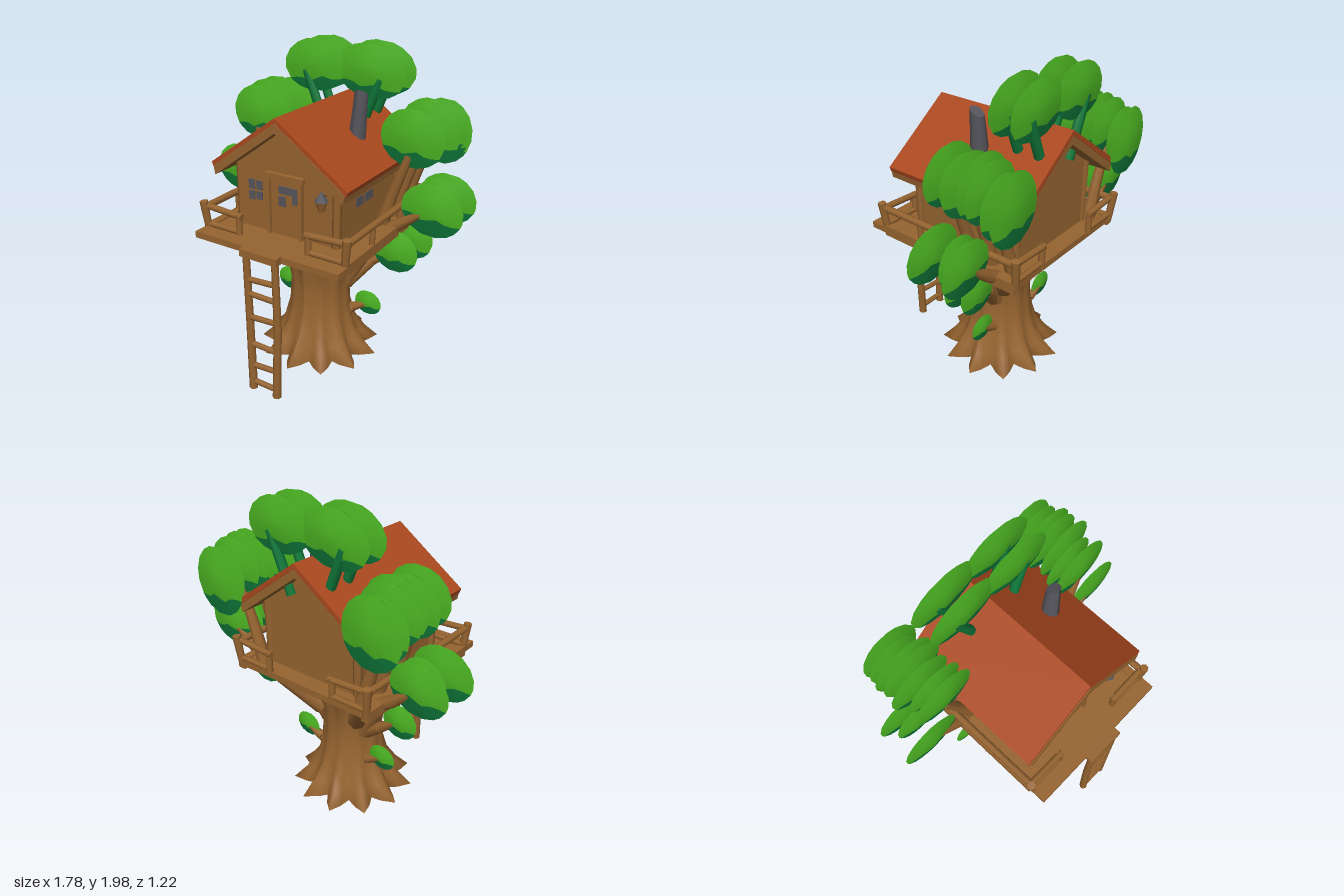
import * as THREE from 'three';

const paint = (name, color, side = THREE.FrontSide) => {
  const m = new THREE.MeshStandardMaterial({ color, side });
  m.name = name;
  return m;
};

export function createModel() {
  const wood = paint('wood brown', 0x966430);
  const roofRed = paint('roof rust', 0xa9481e);
  const leaf = paint('leaf green', 0x4bb322, THREE.DoubleSide);
  const shade = paint('deep green', 0x0f783a, THREE.DoubleSide);
  const stone = paint('stone grey', 0x55555c);

  const root = new THREE.Group();
  root.name = 'treeHouse';
  const group = (name) => {
    const g = new THREE.Group();
    g.name = name;
    root.add(g);
    return g;
  };
  const add = (parent, name, geo, mat, x = 0, y = 0, z = 0) => {
    const m = new THREE.Mesh(geo, mat);
    m.name = name;
    m.position.set(x, y, z);
    parent.add(m);
    return m;
  };
  // box given by its min and max corners
  const block = (parent, name, mat, [x0, y0, z0], [x1, y1, z1]) =>
    add(parent, name, new THREE.BoxGeometry(x1 - x0, y1 - y0, z1 - z0), mat, (x0 + x1) / 2, (y0 + y1) / 2, (z0 + z1) / 2);
  // tapered round pole from a to b
  const pole = (parent, name, a, b, r0, r1 = r0, mat = wood, sides = 7) => {
    const p = new THREE.Vector3(...a), q = new THREE.Vector3(...b), d = q.clone().sub(p);
    const m = add(parent, name, new THREE.CylinderGeometry(r1, r0, d.length(), sides), mat);
    m.position.copy(p).add(q).multiplyScalar(0.5);
    m.quaternion.setFromUnitVectors(new THREE.Vector3(0, 1, 0), d.normalize());
    return m;
  };
  const limb = (parent, name, pts, r0, r1) => {
    const n = pts.length - 1;
    const r = (i) => r0 + (r1 - r0) * i / n;
    for (let i = 0; i < n; i++) pole(parent, name, pts[i], pts[i + 1], r(i), r(i + 1));
  };

  // Trunk: lathe with ribs that swell into pointed roots
  const profile = [[0.001, 0.1], [0.3, 0.015], [0.33, 0.03], [0.27, 0.12], [0.225, 0.22], [0.195, 0.35],
    [0.185, 0.5], [0.205, 0.65], [0.25, 0.78], [0.33, 0.93]];
  const trunk = new THREE.LatheGeometry(profile.map((p) => new THREE.Vector2(...p)), 44);
  const tp = trunk.attributes.position;
  for (let i = 0; i < tp.count; i++) {
    const x = tp.getX(i), y = tp.getY(i), z = tp.getZ(i);
    const wave = Math.cos(11 * Math.atan2(x, z));
    const k = 1 + wave * (0.03 + 0.19 * Math.max(0, 1 - y / 0.25) + 0.08 * Math.max(0, (y - 0.6) / 0.33));
    tp.setXYZ(i, x * k, y, z * k);
  }
  trunk.computeVertexNormals();
  add(root, 'trunk', trunk, wood, 0, 0, -0.065);

  // Branches
  const branches = group('branches');
  for (const s of [-1, 1]) {
    limb(branches, 'mainBranch', [[s * 0.13, 0.5, -0.12], [s * 0.28, 0.78, -0.16], [s * 0.46, 0.95, -0.16], [s * 0.64, 1.08, -0.16]], 0.075, 0.025);
    limb(branches, 'backBranch', [[s * 0.14, 0.6, -0.2], [s * 0.34, 0.86, -0.39], [s * 0.53, 0.98, -0.39], [s * 0.66, 1.08, -0.39]], 0.06, 0.025);
    for (const z of [-0.16, -0.31, -0.45])
      limb(branches, 'crownBranch', [[s * 0.38, 0.95, z], [s * 0.44, 1.15, z], [s * 0.54, 1.42, z]], 0.045, 0.025);
    limb(branches, 'smallBranch', [[s * 0.13, 0.27, -0.12], [s * 0.2, 0.31, -0.15], [s * 0.29, 0.36, -0.16]], 0.045, 0.02);
    for (const z of [-0.31, -0.45])
      pole(branches, 'topStem', [s * 0.12, 1.45, z], [s * 0.26, 1.8, z], 0.03, 0.03, shade);
    // struts below the deck corners
    pole(branches, 'frontStrut', [s * 0.12, 0.62, 0], [s * 0.42, 0.94, 0.34], 0.05, 0.03);
    pole(branches, 'rearStrut', [s * 0.12, 0.62, -0.15], [s * 0.42, 0.94, -0.46], 0.05, 0.03);
  }
  limb(branches, 'leftTwig', [[0.14, 0.48, -0.12], [0.3, 0.66, -0.2], [0.5, 0.8, -0.25]], 0.05, 0.02);
  limb(branches, 'rightTwig', [[-0.14, 0.48, -0.12], [-0.28, 0.58, -0.15], [-0.43, 0.69, -0.16]], 0.05, 0.02);

  // Foliage: thin pointed lenses, dark below a wavy line
  const foliage = group('foliage');
  const lensPart = (rows, split, rx, ry, t) => {
    const pos = [], idx = [], n = 8;
    for (const side of [1, -1]) {
      const base = pos.length / 3;
      rows.forEach((v, i) => {
        for (let j = 0; j <= n; j++) {
          const u = j / n * 2 - 1, w = Math.sqrt(1 - v * v);
          const y = v === split ? v + 0.1 * Math.sin(u * 7) * (1 - u * u) : v;
          const r = Math.min(1, Math.hypot(u * w, y));
          const z = Math.abs(v) > 0.94 ? 0 : t * (1 - Math.pow(r, 1.2));
          pos.push(u * w * rx, y * ry, side * z);
          if (i && j) {
            const d = base + i * (n + 1) + j, c = d - 1, b = d - n - 1, a = b - 1;
            if (side > 0) idx.push(a, b, d, a, d, c);
            else idx.push(a, d, b, a, c, d);
          }
        }
      });
    }
    const g = new THREE.BufferGeometry();
    g.setAttribute('position', new THREE.Float32BufferAttribute(pos, 3));
    g.setIndex(idx);
    g.computeVertexNormals();
    return g;
  };
  const lens = (x, y, z, rx, ry, split = -0.4, tilt = 0) => {
    const g = new THREE.Group();
    g.name = 'leafClump';
    g.position.set(x, y, z);
    g.rotation.z = tilt;
    const t = Math.min(0.036, rx * 0.24);
    add(g, 'leafTop', lensPart([split, -0.1, 0.25, 0.6, 0.85, 0.97], split, rx, ry, t), leaf);
    add(g, 'leafBottom', lensPart([-0.97, -0.8, -0.6, split], split, rx, ry, t), shade);
    foliage.add(g);
  };
  for (const s of [-1, 1]) {
    // upper side crown: [x, y, z, rx, ry]
    [[0.55, 1.52, -0.16, 0.2, 0.175], [0.54, 1.5, -0.24, 0.18, 0.16], [0.58, 1.52, -0.31, 0.2, 0.18],
      [0.56, 1.53, -0.39, 0.2, 0.18], [0.57, 1.52, -0.45, 0.2, 0.17], [0.58, 1.47, -0.53, 0.17, 0.18],
      [0.56, 1.46, -0.585, 0.19, 0.21]].forEach(([x, y, z, rx, ry], i) =>
      lens(s * (s < 0 ? x - 0.02 : x), y, z, rx, ry, -0.45, s * 0.08 * (i % 3 - 1)));
    // lower side crown
    lens(s * 0.7, 1.11, -0.16, 0.195, 0.165, -0.3, s * -0.1);
    lens(s * 0.67, 1.1, -0.31, 0.15, 0.16, -0.3);
    lens(s * 0.7, 1.11, -0.39, 0.185, 0.16, -0.3, s * -0.1);
    // top crown
    for (const z of [-0.31, -0.45]) lens(s * 0.19, 1.835, z, 0.235, 0.165, -0.5, s * -0.1);
    // lowest sprig
    lens(s * 0.305, 0.37, -0.16, 0.095, 0.085, -0.3);
  }
  lens(0.48, 0.79, -0.16, 0.15, 0.14, -0.4);
  lens(0.52, 0.83, -0.31, 0.14, 0.14, -0.5);
  lens(-0.43, 0.685, -0.16, 0.12, 0.115, -0.4);

  // Deck with a landing for the ladder
  const deck = group('deck');
  block(deck, 'deckFloor', wood, [-0.49, 0.92, -0.545], [0.5, 0.96, 0.55]);
  block(deck, 'landing', wood, [-0.12, 0.92, 0.54], [0.135, 0.965, 0.6]);
  for (const s of [-1, 1]) {
    block(deck, 'edgeBeam', wood, [s * 0.475 - 0.025, 0.905, -0.55], [s * 0.475 + 0.025, 0.97, 0.44]);
    for (const z of [0.44, -0.54]) {
      pole(deck, 'cornerPost', [s * 0.475, 0.93, z], [s * 0.495, 1.12, z + Math.sign(z) * 0.015], 0.022, 0.026);
      pole(deck, 'innerPost', [s * 0.24, 0.95, z], [s * 0.24, 1.09, z], 0.02);
      pole(deck, 'endRail', [s * 0.5, 1.09, z], [s * 0.22, 1.075, z], 0.02);
      pole(deck, 'lowRail', [s * 0.48, 0.975, z], [s * 0.23, 0.975, z], 0.018);
    }
    pole(deck, 'sideRail', [s * 0.485, 1.085, 0.45], [s * 0.485, 1.085, -0.55], 0.022);
    for (const z of [0.15, -0.2]) pole(deck, 'sidePost', [s * 0.48, 0.95, z], [s * 0.485, 1.08, z], 0.018);
  }

  // Ladder
  const ladder = group('ladder');
  limb(ladder, 'rightStile', [[-0.075, 0.02, 0.575], [-0.085, 0.5, 0.57], [-0.09, 0.94, 0.575]], 0.027, 0.022);
  limb(ladder, 'leftStile', [[0.1, 0.02, 0.575], [0.115, 0.5, 0.57], [0.11, 0.94, 0.575]], 0.027, 0.022);
  [0.07, 0.195, 0.34, 0.53, 0.68, 0.78].forEach((y, i) =>
    pole(ladder, 'rung', [-0.09, y - 0.008 * (i % 2), 0.575], [0.115, y + 0.008 * (i % 2), 0.575], 0.018));

  // House body
  const house = group('house');
  const prism = (pts, z0, z1) => new THREE.ExtrudeGeometry(new THREE.Shape(pts.map((p) => new THREE.Vector2(...p))),
    { depth: z1 - z0, bevelEnabled: false }).translate(0, 0, z0);
  add(house, 'walls', prism([[-0.33, 0.95], [0.33, 0.95], [0.34, 1.36], [0, 1.61], [-0.34, 1.36]], -0.44, 0.3), wood);
  for (const s of [-1, 1]) for (const z of [0.29, -0.43])
    pole(house, 'cornerPillar', [s * 0.33, 0.95, z], [s * 0.335, 1.38, z], 0.026, 0.026, wood, 6);
  // door and its frame
  block(house, 'door', wood, [-0.1, 0.96, 0.29], [0.1, 1.31, 0.312]);
  for (const x of [-0.12, 0.1]) block(house, 'doorJamb', wood, [x, 0.96, 0.29], [x + 0.02, 1.33, 0.33]);
  block(house, 'doorLintel', wood, [-0.13, 1.31, 0.29], [0.13, 1.34, 0.33]);

  // Window panes
  const panes = (name, cells, place) => cells.forEach(([u, v, w, h]) => {
    const m = add(house, name, new THREE.BoxGeometry(w, h, 0.008), stone);
    place(m, u, v);
  });
  const front = (z) => (m, u, v) => m.position.set(u, v, z);
  panes('frontPane', [[-0.245, 1.235, 0.042, 0.06], [-0.19, 1.235, 0.042, 0.055],
    [-0.245, 1.165, 0.042, 0.055], [-0.19, 1.17, 0.042, 0.05]], front(0.303));
  panes('doorPane', [[0.02, 1.245, 0.125, 0.045], [-0.02, 1.175, 0.045, 0.06], [0.068, 1.2, 0.035, 0.06]], front(0.315));
  for (const s of [-1, 1])
    panes('sidePane', [[-0.015, 1.24, 0.2, 0.05], [0.045, 1.165, 0.08, 0.055], [-0.065, 1.165, 0.09, 0.055]], (m, u, v) => {
      m.position.set(s * (0.331 + 0.01 * (v - 0.95) / 0.41), v, u);
      m.rotation.y = s * Math.PI / 2;
    });

  // Roof: rust shingles over a timber chevron
  const chevron = (top, thick, w, z0, z1) => {
    const e = top - 0.717 * w;
    return prism([[0, top], [-w, e], [-w + 0.01, e - thick], [0, top - thick], [w - 0.01, e - thick], [w, e]], z0, z1);
  };
  add(house, 'roofShingles', chevron(1.69, 0.03, 0.46, -0.55, 0.4), roofRed);
  add(house, 'roofTimber', chevron(1.66, 0.055, 0.445, -0.545, 0.405), wood);

  // Chimney with a slanted top
  const chimney = new THREE.CylinderGeometry(0.04, 0.055, 0.3, 8, 3);
  const cp = chimney.attributes.position;
  for (let i = 0; i < cp.count; i++) {
    const y = cp.getY(i);
    if (y > 0.1) cp.setY(i, y + cp.getZ(i) * 0.6);
    cp.setX(i, cp.getX(i) + 0.012 * (y / 0.15));
  }
  chimney.computeVertexNormals();
  add(house, 'chimney', chimney, stone, 0.24, 1.61, -0.095);

  // Lantern beside the door
  const lantern = group('lantern');
  add(lantern, 'lanternCap', new THREE.ConeGeometry(0.042, 0.06, 6), stone, 0.265, 1.28, 0.345);
  add(lantern, 'lanternBody', new THREE.CylinderGeometry(0.034, 0.018, 0.06, 6), wood, 0.265, 1.22, 0.345);
  pole(lantern, 'lanternHook', [0.265, 1.27, 0.29], [0.265, 1.29, 0.35], 0.01);

  return root;
}
